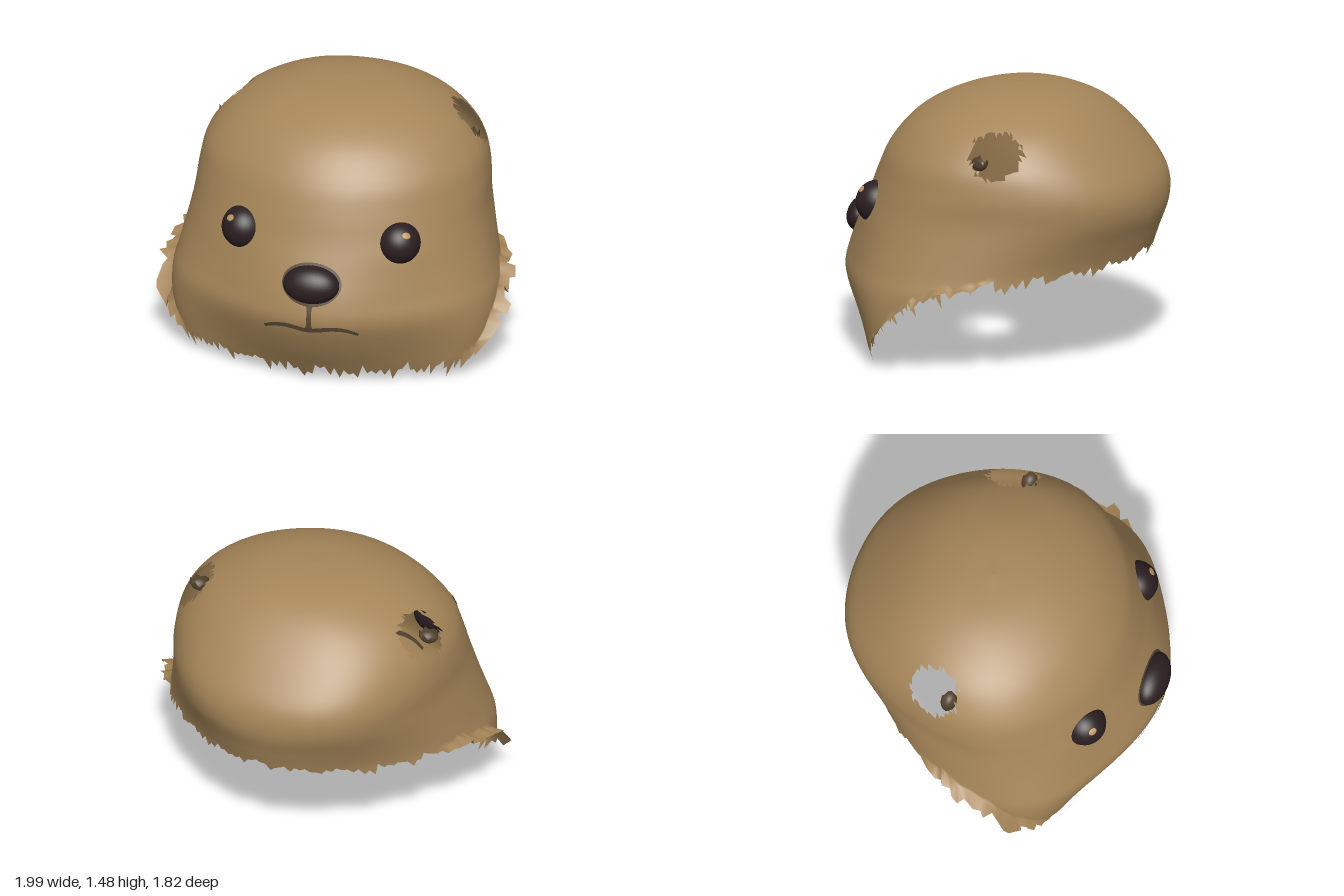
import * as THREE from 'three';

const mat = (name, color, side = THREE.FrontSide) => {
  const m = new THREE.MeshStandardMaterial({ color, side });
  m.name = name;
  return m;
};

// Horizontal sections from crown to chin: y, half width, front z, back z, z of widest point
const SECTIONS = [
  [1.48, 0, -0.1, -0.1, -0.1],
  [1.46, 0.25, 0.12, -0.3, -0.09],
  [1.4, 0.45, 0.31, -0.48, -0.08],
  [1.3, 0.63, 0.48, -0.625, -0.07],
  [1.15, 0.755, 0.61, -0.775, -0.03],
  [1.0, 0.795, 0.68, -0.885, 0],
  [0.85, 0.81, 0.735, -0.908, 0.06],
  [0.7, 0.84, 0.8, -0.865, 0.1],
  [0.55, 0.875, 0.86, -0.82, 0.15],
  [0.42, 0.905, 0.88, -0.81, 0.19],
  [0.25, 0.89, 0.81, -0.8, 0.27],
  [0.1, 0.83, 0.72, -0.8, 0.35],
  [0, 0.79, 0.66, -0.8, 0.36],
];
const spline = (pick) => new THREE.CatmullRomCurve3(
  SECTIONS.map((s) => new THREE.Vector3(...pick(s))), false, 'catmullrom', 0.5);
const widthCurve = spline((s) => [s[1], s[0], s[4]]);
const depthCurve = spline((s) => [s[2], s[0], s[3]]);

// Curve parameter at a given height
function tAt(y) {
  let lo = 0, hi = 1;
  for (let k = 0; k < 30; k++) {
    const mid = (lo + hi) / 2;
    if (widthCurve.getPoint(mid).y > y) lo = mid; else hi = mid;
  }
  return lo;
}

// Point on the head: a = 0 faces front, a = PI / 2 is the model's left
function skin(t, a) {
  const w = widthCurve.getPoint(t), d = depthCurve.getPoint(t);
  const s = Math.sin(a), c = Math.cos(a), diagonal = Math.sin(2 * a) ** 2;
  const above = (lo, hi) => THREE.MathUtils.smoothstep(w.y, lo, hi);
  // Snout and chin come to a point; the nape tucks in below a fuller crown
  const pointed = 0.15 - 0.08 * above(0.5, 0.85) - 0.05 * above(0.15, 0.45);
  const full = -0.06 + 0.1 * above(0.55, 0.95);
  const z = c > 0
    ? w.z + (d.x - w.z) * c * (1 - pointed * diagonal)
    : w.z + (w.z - d.z) * c * (1 + full * diagonal);
  return new THREE.Vector3(w.x * s, w.y, z);
}

// Point on the face at a given x and y
function facePoint(x, y) {
  const t = tAt(y);
  return skin(t, Math.asin(x / widthCurve.getPoint(t).x));
}

// Height of the open lower edge, by angle in degrees from the front
const RIM = [[0, 0.105], [60, 0.12], [70, 0.16], [80, 0.29], [90, 0.44],
  [100, 0.51], [110, 0.54], [140, 0.575], [180, 0.63]];
function rimHeight(a) {
  const deg = THREE.MathUtils.radToDeg(a > Math.PI ? 2 * Math.PI - a : a);
  let k = 1;
  while (k < RIM.length - 1 && RIM[k][0] < deg) k++;
  const [a0, y0] = RIM[k - 1], [a1, y1] = RIM[k];
  return THREE.MathUtils.lerp(y0, y1, (deg - a0) / (a1 - a0));
}

function seeded(seed) {
  return () => {
    seed = (seed * 16807) % 2147483647;
    return seed / 2147483647;
  };
}

// Open furry shell with a ragged lower edge and two torn ear holes
function headGeometry() {
  const rand = seeded(417), cols = 200, rows = 46;
  const points = [], index = [];
  for (let i = 0; i < cols; i++) {
    const a = (i / cols) * Math.PI * 2;
    const y = rimHeight(a) + 0.012 * Math.sin(23 * a) + 0.01 * Math.sin(41 * a + 1);
    const rimT = tAt(y);
    for (let j = 0; j <= rows; j++) points.push(skin((rimT * j) / rows, a));
    // Fur tooth hanging from the edge, flaring out at the cheeks
    const length = Math.cos(a) > 0.1 ? 0.1 : 0.06;
    const drop = length * (i % 2 ? 0.25 + 0.75 * rand() : 0.4 * rand());
    const tip = skin(tAt(Math.max(0.005, y - drop)), a);
    const cheek = THREE.MathUtils.smoothstep(Math.sin(a) ** 2, 0.78, 0.98);
    tip.x *= 1 + cheek * (0.03 + 0.075 * rand());
    points.push(tip);
  }
  const stride = rows + 2;
  const hole = new THREE.Vector3(0.67, 1.235, -0.215);
  const center = new THREE.Vector3();
  const addFace = (...f) => {
    center.set(0, 0, 0);
    f.forEach((k) => center.add(points[k]));
    center.divideScalar(3);
    center.x = Math.abs(center.x);
    if (center.distanceTo(hole) > 0.13 + rand() * 0.03) index.push(...f);
  };
  for (let i = 0; i < cols; i++) {
    const p = i * stride, q = ((i + 1) % cols) * stride;
    for (let j = 0; j <= rows; j++) {
      if (j > 0) addFace(p + j, q + j + 1, q + j);
      addFace(p + j, p + j + 1, q + j + 1);
    }
  }
  const g = new THREE.BufferGeometry().setFromPoints(points);
  g.setIndex(index);
  g.computeVertexNormals();
  return g;
}

// Thin flat line on the face, one layer outside and one inside the shell
function ribbonGeometry(path, halfWidth, steps = 64) {
  const positions = [], index = [];
  for (const lift of [0.005, -0.004]) {
    const base = positions.length / 3;
    for (let k = 0; k <= steps; k++) {
      const u = k / steps, p = path.getPoint(u), d = path.getTangent(u), w = halfWidth(u);
      for (const s of [1, -1]) {
        const v = facePoint(p.x - d.y * w * s, p.y + d.x * w * s);
        positions.push(v.x, v.y, v.z + lift);
      }
      if (k < steps) {
        const n = base + k * 2;
        index.push(n, n + 1, n + 2, n + 1, n + 3, n + 2);
      }
    }
  }
  const g = new THREE.BufferGeometry();
  g.setAttribute('position', new THREE.Float32BufferAttribute(positions, 3));
  g.setIndex(index);
  g.computeVertexNormals();
  return g;
}

export function createModel() {
  const model = new THREE.Group();
  model.name = 'animalHead';
  const fur = mat('brown fur', 0xa68659, THREE.DoubleSide);
  const dark = mat('dark eyes and nose', 0x2b1f20);
  const line = mat('mouth line', 0x564631, THREE.DoubleSide);
  const glint = mat('eye glint', 0xbc935e);

  const add = (name, geometry, material, parent = model) => {
    const m = new THREE.Mesh(geometry, material);
    m.name = name;
    parent.add(m);
    return m;
  };

  add('furShell', headGeometry(), fur);

  // Eyes, sunk partly into the face, each with a small glint
  const ball = new THREE.SphereGeometry(1, 32, 20);
  for (const side of [1, -1]) {
    const normal = new THREE.Vector3(0.5 * side, 0.25, 0.83).normalize();
    const eye = new THREE.Group();
    eye.name = side > 0 ? 'leftEye' : 'rightEye';
    eye.position.copy(facePoint(0.455 * side, 0.85)).addScaledVector(normal, -0.042);
    model.add(eye);
    add('eyeball', ball, dark, eye).scale.setScalar(0.121);
    const dir = new THREE.Vector3(0.52 * side, 0.7, 0.62).normalize();
    const spot = add('glint', ball, glint, eye);
    spot.scale.set(0.024, 0.019, 0.004);
    spot.position.copy(dir).multiplyScalar(0.121);
    spot.quaternion.setFromUnitVectors(new THREE.Vector3(0, 0, 1), dir);
  }

  // Nose
  const nose = add('nose', ball, dark);
  nose.scale.set(0.157, 0.106, 0.088);
  nose.position.copy(facePoint(0, 0.652));
  nose.rotation.x = -0.42;

  // Nose outline and mouth
  const outline = new THREE.EllipseCurve(0, 0.652, 0.157, 0.104);
  add('noseOutline', ribbonGeometry(outline, () => 0.009), line);
  const groove = new THREE.LineCurve(new THREE.Vector2(0, 0.56), new THREE.Vector2(0, 0.4));
  add('lipGroove', ribbonGeometry(groove, (u) => 0.013 + 0.024 * Math.abs(2 * u - 1) ** 5), line);
  const lips = new THREE.SplineCurve([[-0.26, 0.38], [-0.2, 0.405], [-0.12, 0.415], [0, 0.4],
    [0.12, 0.415], [0.2, 0.405], [0.265, 0.375]].map(([x, y]) => new THREE.Vector2(x, y)));
  add('mouth', ribbonGeometry(lips, (u) => 0.009 + 0.005 * Math.sin(Math.PI * u)), line);

  // Torn dark cups inside the ear holes
  for (const side of [1, -1]) {
    const g = new THREE.SphereGeometry(0.055, 14, 6, 0, Math.PI * 2, Math.PI / 2, Math.PI / 2);
    const pos = g.attributes.position;
    const rand = seeded(91);
    for (let k = 0; k < 14; k++) pos.setY(k, (rand() - 0.4) * 0.05);
    pos.setY(14, pos.getY(0));
    g.computeVertexNormals();
    const cup = add(side > 0 ? 'leftEarCup' : 'rightEarCup', g, line);
    cup.position.set(0.675 * side, 1.19, -0.125);
    cup.scale.set(1, 0.9, 0.8);
  }
  return model;
}
